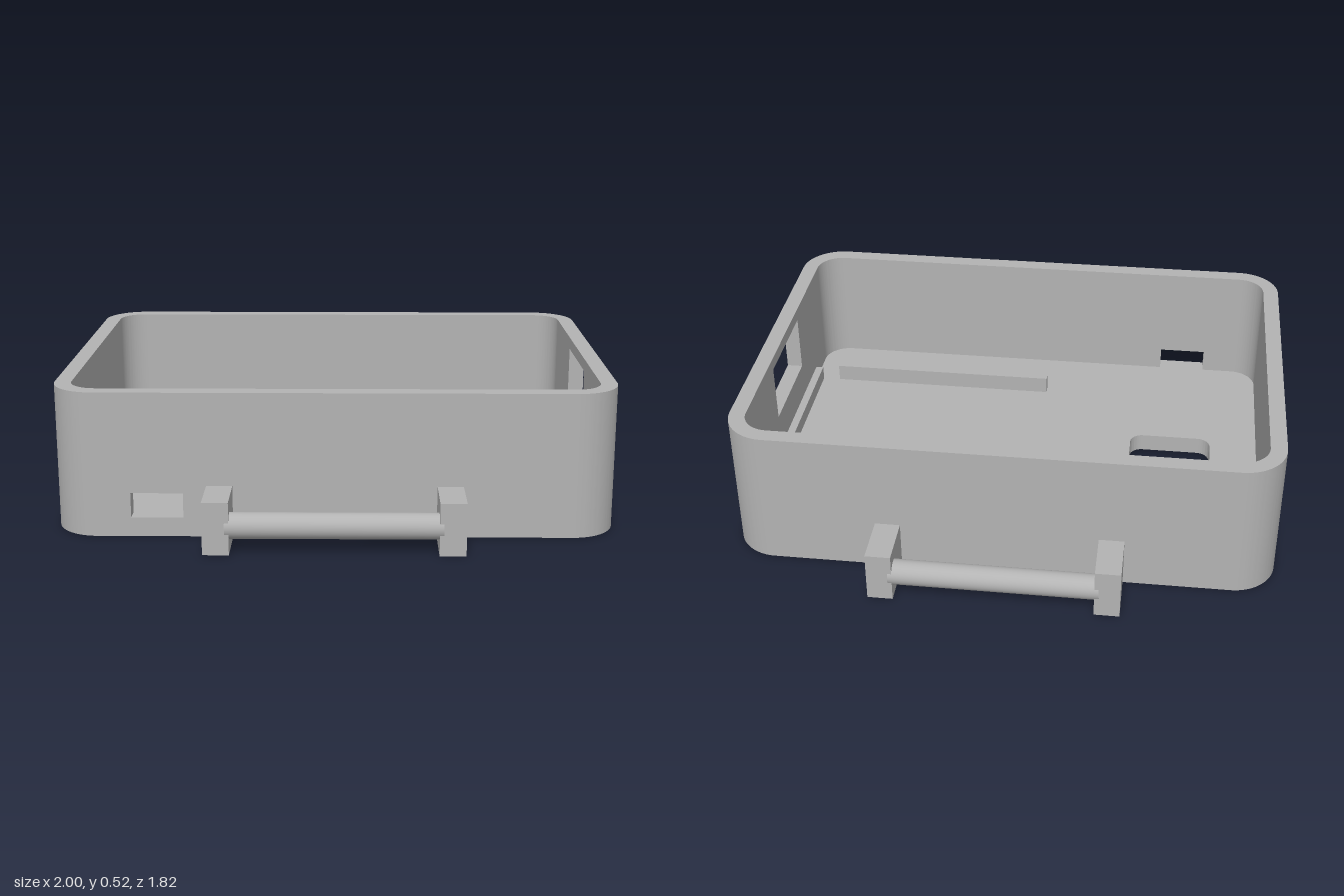
import * as THREE from 'three';
import { toCreasedNormals } from 'three/addons/utils/BufferGeometryUtils.js';

const H = 0.525, HX = 1, HZ = 0.718, WALL = 0.06, R = 0.16, FLOOR = 0.07;

// Rounded rectangle centred on (cx, cy)
function roundedRect(path, cx, cy, hw, hh, r) {
  path.absarc(cx + hw - r, cy + hh - r, r, 0, Math.PI / 2);
  path.absarc(cx - hw + r, cy + hh - r, r, Math.PI / 2, Math.PI);
  path.absarc(cx - hw + r, cy - hh + r, r, Math.PI, Math.PI * 1.5);
  path.absarc(cx + hw - r, cy - hh + r, r, Math.PI * 1.5, Math.PI * 2);
  path.closePath();
  return path;
}

function rect(path, x0, y0, x1, y1) {
  path.moveTo(x0, y0).lineTo(x1, y0).lineTo(x1, y1).lineTo(x0, y1).closePath();
  return path;
}

const extrude = (shape, depth) => toCreasedNormals(
  new THREE.ExtrudeGeometry(shape, { depth, bevelEnabled: false, curveSegments: 16 }), 0.5);

export function createModel() {
  const model = new THREE.Group();
  model.name = 'openTray';
  const grey = new THREE.MeshStandardMaterial({ color: 0xb3b3b3 });
  grey.name = 'grey';

  const add = (name, geometry, parent = model) => {
    const mesh = new THREE.Mesh(geometry, grey);
    mesh.name = name;
    parent.add(mesh);
    return mesh;
  };
  // Box given by its lower and upper corners
  const block = (name, a, b, parent) => add(name,
    new THREE.BoxGeometry(b[0] - a[0], b[1] - a[1], b[2] - a[2])
      .translate((a[0] + b[0]) / 2, (a[1] + b[1]) / 2, (a[2] + b[2]) / 2), parent);

  // Floor with a rounded opening
  const floor = roundedRect(new THREE.Shape(), 0, 0, HX - WALL, HZ - WALL, R - WALL);
  floor.holes.push(roundedRect(new THREE.Path(), -0.595, 0.003, 0.16, 0.127, 0.05));
  add('floor', extrude(floor, FLOOR).rotateX(-Math.PI / 2));

  // Rounded wall corners
  [[1, 1], [-1, 1], [-1, -1], [1, -1]].forEach(([sx, sy], i) => {
    const cx = sx * (HX - R), cy = sy * (HZ - R), a = i * Math.PI / 2;
    const arc = new THREE.Shape();
    arc.absarc(cx, cy, R, a, a + Math.PI / 2, false);
    arc.absarc(cx, cy, R - WALL, a + Math.PI / 2, a, true);
    arc.closePath();
    add('wallCorner', extrude(arc, H).rotateX(-Math.PI / 2));
  });

  // Straight walls, two of them with windows
  const wall = (half, window) => {
    const shape = rect(new THREE.Shape(), -half, 0, half, H);
    if (window) shape.holes.push(rect(new THREE.Path(), ...window));
    return extrude(shape, WALL);
  };
  const fx = HX - R, fz = HZ - R;
  add('frontWall', wall(fx, [-0.72, FLOOR, -0.535, 0.16]).translate(0, 0, HZ - WALL));
  add('backWall', wall(fx).translate(0, 0, -HZ));
  add('leftWall', wall(fz, [-0.19, 0.26, 0.19, 0.48]).rotateY(Math.PI / 2).translate(HX - WALL, 0, 0));
  add('rightWall', wall(fz).rotateY(Math.PI / 2).translate(-HX, 0, 0));

  // Inner rails and the ledge below the side window
  for (const z of [-0.45, 0.4]) block('rail', [-0.06, FLOOR, z], [0.84, 0.137, z + 0.043]);
  block('ledge', [0.91, FLOOR, -0.405], [0.94, 0.125, 0.4]);

  // Carry handles, front and back
  for (const s of [1, -1]) {
    const handle = new THREE.Group();
    handle.name = s > 0 ? 'frontHandle' : 'backHandle';
    for (const x of [-0.452, 0.36]) {
      block('handlePost', [x, 0, HZ - 0.02], [x + 0.092, 0.188, 0.905], handle);
    }
    add('handleBar', new THREE.CylinderGeometry(0.046, 0.046, 0.75, 32)
      .rotateZ(Math.PI / 2).translate(0, 0.094, 0.864), handle);
    if (s < 0) handle.rotation.y = Math.PI;
    model.add(handle);
  }
  return model;
}
